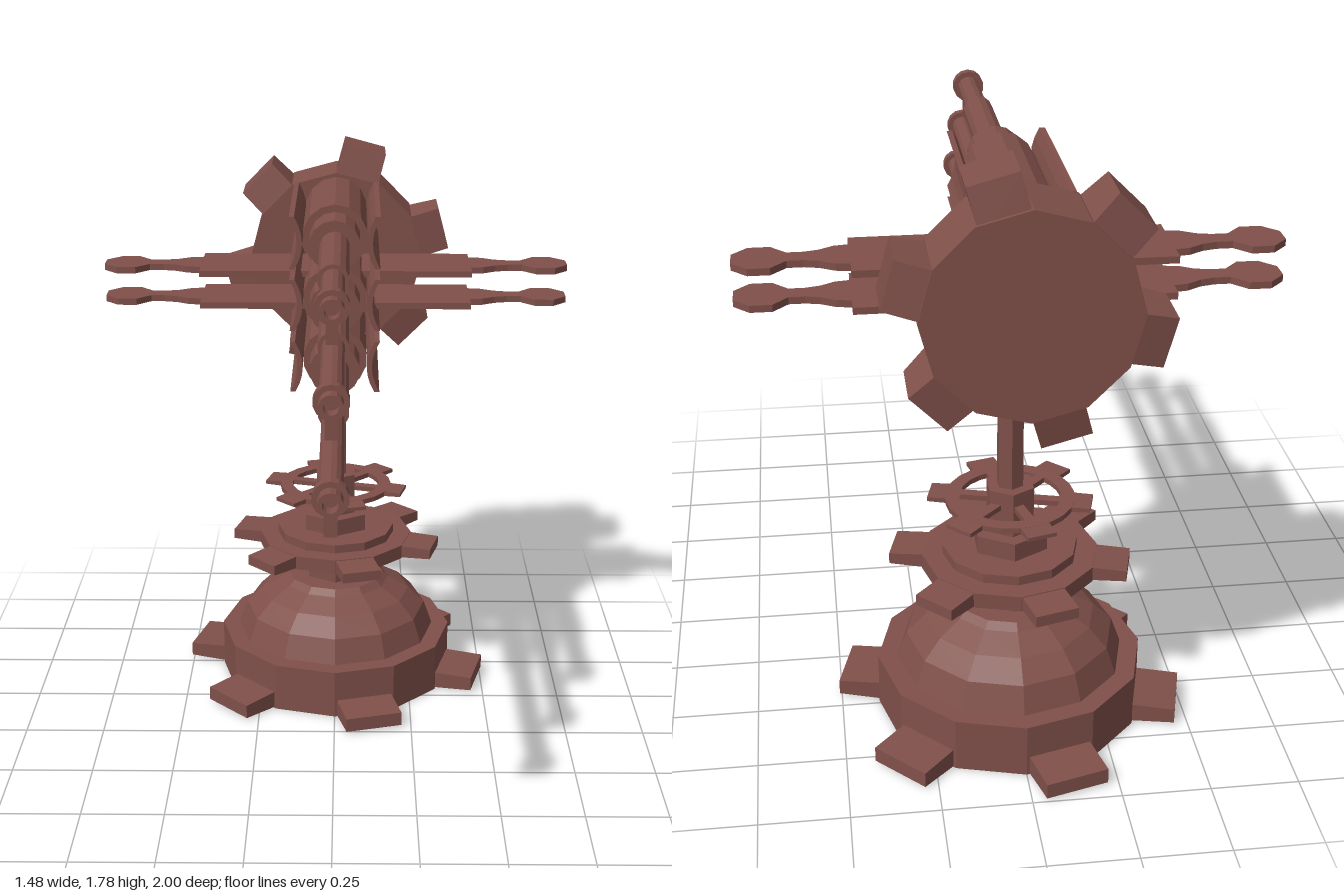
import * as THREE from 'three';

const material = new THREE.MeshStandardMaterial({ color: 0x80504a, flatShading: true, side: THREE.DoubleSide });
const AXIS_Z = -0.49;
const FIRST_TOOTH = Math.PI / 12;

function add(parent, name, geometry, x = 0, y = 0, z = 0) {
  const mesh = new THREE.Mesh(geometry, material);
  mesh.name = name;
  mesh.position.set(x, y, z);
  parent.add(mesh);
  return mesh;
}

// Upright prism between two heights
function prism(parent, name, radius, y0, y1, sides) {
  return add(parent, name, new THREE.CylinderGeometry(radius, radius, y1 - y0, sides), 0, (y0 + y1) / 2, 0);
}

// Barrel section along z between two depths
function barrelPart(parent, name, radius, z0, z1) {
  const g = new THREE.CylinderGeometry(radius, radius, z1 - z0, 14).rotateX(Math.PI / 2);
  return add(parent, name, g, 0, 0, (z0 + z1) / 2);
}

// Six teeth around y, each thinner at the tip
function addTeeth(parent, name, root, tip, width, height, y) {
  const g = new THREE.BoxGeometry(width, height, tip - root);
  const p = g.attributes.position;
  for (let i = 0; i < p.count; i++) if (p.getZ(i) > 0) p.setY(i, p.getY(i) * 0.73);
  g.translate(0, y, (root + tip) / 2);
  for (let i = 0; i < 6; i++) {
    add(parent, name, g).rotation.y = FIRST_TOOTH + (i * Math.PI) / 3;
  }
}

function makePedestal() {
  const group = new THREE.Group();
  group.name = 'pedestal';

  // Toothed foot and dome
  prism(group, 'footDrum', 0.39, 0, 0.16, 12);
  addTeeth(group, 'footTooth', 0.3, 0.5, 0.185, 0.062, 0.031);
  const profile = [[0.335, 0.155], [0.305, 0.24], [0.25, 0.295], [0.18, 0.335], [0.16, 0.355], [0, 0.355]];
  add(group, 'dome', new THREE.LatheGeometry(profile.map(([x, y]) => new THREE.Vector2(x, y)), 12));

  // Stacked neck with toothed collar
  prism(group, 'neck', 0.104, 0.34, 0.43, 6);
  prism(group, 'lowerCollar', 0.17, 0.415, 0.458, 12);
  prism(group, 'gear', 0.255, 0.456, 0.502, 12);
  addTeeth(group, 'gearTooth', 0.2, 0.343, 0.127, 0.045, 0.479);
  prism(group, 'upperCollar', 0.195, 0.5, 0.53, 12);
  prism(group, 'lowerHub', 0.115, 0.53, 0.585, 6);
  prism(group, 'upperHub', 0.073, 0.58, 0.72, 6);
  prism(group, 'post', 0.04, 0.7, 1.2, 6);

  // Thin spoked wheel
  const ring = new THREE.Shape().absarc(0, 0, 0.185, 0, Math.PI * 2);
  ring.holes.push(new THREE.Path().absarc(0, 0, 0.145, 0, Math.PI * 2, true));
  const rim = new THREE.ExtrudeGeometry(ring, { depth: 0.016, bevelEnabled: false, curveSegments: 12 });
  add(group, 'wheelRim', rim.rotateX(-Math.PI / 2), 0, 0.664, 0);
  addTeeth(group, 'wheelTooth', 0.165, 0.233, 0.085, 0.016, 0.672);
  for (let i = 0; i < 6; i++) {
    const spoke = new THREE.BoxGeometry(0.03, 0.016, 0.13).translate(0, 0, 0.1);
    add(group, 'wheelSpoke', spoke, 0, 0.672, 0).rotation.y = FIRST_TOOTH + (i * Math.PI) / 3;
  }
  group.position.z = AXIS_Z;
  return group;
}

function makeBarrel(y, tip) {
  const group = new THREE.Group();
  group.name = 'barrel';
  group.position.y = y;
  barrelPart(group, 'casing', 0.1, -0.7, -0.235);
  barrelPart(group, 'sleeve', 0.078, -0.25, -0.11);
  barrelPart(group, 'rearTube', 0.045, -0.12, 0.3);

  // Front tube with a shallow bore
  const outline = [[0.033, 0.28], [0.033, tip], [0.021, tip], [0.021, tip - 0.06], [0, tip - 0.06]];
  const tube = new THREE.LatheGeometry(outline.map(([r, z]) => new THREE.Vector2(r, z)), 14);
  add(group, 'frontTube', tube.rotateX(Math.PI / 2));

  // Muzzle band and hanging peg
  const bandZ = tip - 0.055;
  barrelPart(group, 'muzzleBand', 0.048, bandZ - 0.015, bandZ + 0.015);
  add(group, 'muzzlePeg', new THREE.BoxGeometry(0.034, 0.07, 0.03), 0, -0.065, bandZ);

  // Curved guard plates, bowed towards the casing
  for (const side of [-1, 1]) {
    const s = new THREE.Shape();
    s.moveTo(side * 0.122, 0.08);
    s.quadraticCurveTo(side * 0.075, 0, side * 0.122, -0.08);
    s.lineTo(side * 0.138, -0.08);
    s.quadraticCurveTo(side * 0.091, 0, side * 0.138, 0.08);
    const plate = new THREE.ExtrudeGeometry(s, { depth: 0.54, bevelEnabled: false, curveSegments: 6 });
    add(group, 'guardPlate', plate, 0, 0, -0.69);
  }
  return group;
}

// Flat paddle arms running through to both sides
function makeArmPlate() {
  const half = [[0.43, 0.12], [0.43, 0.07], [0.47, 0.064], [0.51, 0.04], [0.55, 0.03], [0.595, 0.03],
    [0.637, 0.075], [0.697, 0.075], [0.74, 0.03]];
  const mirror = (pts, sx, sy) => pts.map(([x, y]) => [x * sx, y * sy]);
  const back = [...half].reverse();
  const outline = [...half, ...mirror(back, 1, -1), ...mirror(half, -1, -1), ...mirror(back, -1, 1)];
  const shape = new THREE.Shape(outline.map(([x, y]) => new THREE.Vector2(x, y)));
  return new THREE.ExtrudeGeometry(shape, { depth: 0.02, bevelEnabled: false }).rotateX(-Math.PI / 2);
}

export function createModel() {
  const model = new THREE.Group();
  model.name = 'turret';
  model.add(makePedestal());

  // Toothed back disc
  const disc = new THREE.Group();
  disc.name = 'backDisc';
  prism(disc, 'discBody', 0.285, 0, 0.22, 12);
  addTeeth(disc, 'discTooth', 0.22, 0.368, 0.138, 0.22, 0.11);
  disc.rotation.x = -Math.PI / 2;
  disc.position.set(0, 1.405, -0.68);
  model.add(disc);

  // Three barrels, longest at the bottom
  for (const [y, tip] of [[1.577, 0.63], [1.385, 0.83], [1.19, 1]]) model.add(makeBarrel(y, tip));

  // Two stacked arm plates
  const plate = makeArmPlate();
  for (const y of [1.315, 1.418]) add(model, 'armPlate', plate, 0, y, AXIS_Z);
  return model;
}
